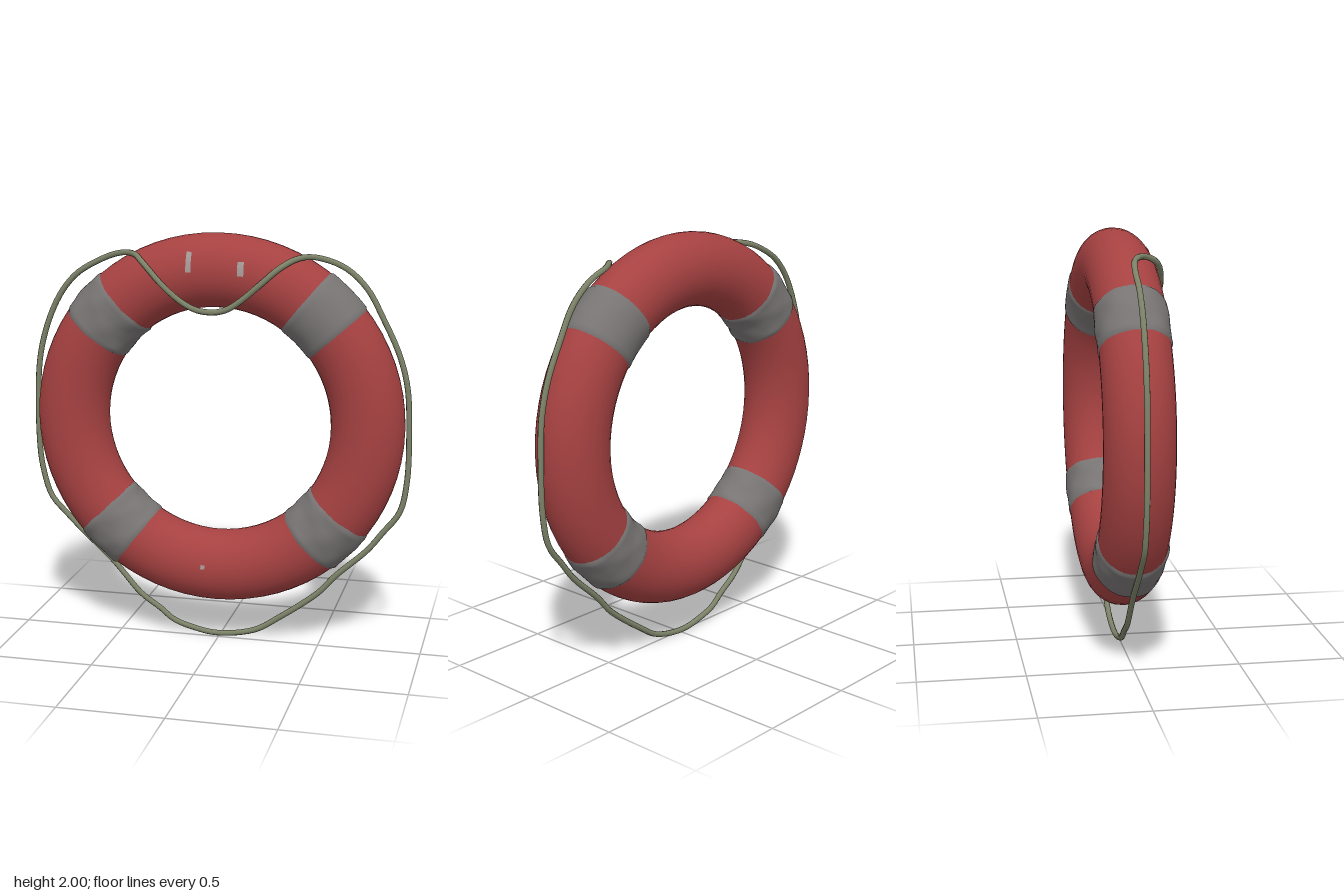
import * as THREE from 'three';
import { mergeVertices } from 'three/addons/utils/BufferGeometryUtils.js';

const CENTER = new THREE.Vector3(-0.005, 1.1, -0.015);
const RING = 0.725, TUBE = 0.175, DEPTH = 0.16;
const TAU = Math.PI * 2;

// Grid lying on the ring: place(u, v) returns [angle along ring, angle around tube, height]
function ringSurface(nu, nv, place) {
  const pos = [], index = [];
  for (let i = 0; i <= nu; i++) {
    for (let j = 0; j <= nv; j++) {
      const [a, b, h] = place(i / nu, j / nv);
      const rho = RING + (TUBE + h) * Math.cos(b);
      pos.push(rho * Math.cos(a), rho * Math.sin(a), (DEPTH + h) * Math.sin(b));
      if (i < nu && j < nv) {
        const p = i * (nv + 1) + j, q = p + nv + 1;
        index.push(p, q, q + 1, p, q + 1, p + 1);
      }
    }
  }
  let geo = new THREE.BufferGeometry();
  geo.setAttribute('position', new THREE.Float32BufferAttribute(pos, 3));
  geo.setIndex(index);
  geo = mergeVertices(geo, 1e-5);
  geo.computeVertexNormals();
  return geo.translate(CENTER.x, CENTER.y, CENTER.z);
}

// Tape wrapped around the tube, nearly parallel-sided, with shallow creases
function tapeBand(degrees, crease, seed) {
  const mid = THREE.MathUtils.degToRad(degrees);
  return ringSurface(14, 56, (u, v) => {
    const b = v * TAU, t = u * 2 - 1;
    const rho = RING + TUBE * Math.cos(b);
    const half = (0.057 + 0.075 * rho) / rho;
    const edge = Math.abs(t) > 0.99;
    const fold = Math.sin(b * 7 + t * 3 + seed) + Math.sin(b * 4 - t * 5 + seed * 2);
    const h = edge ? -0.003 : 0.005 + crease * Math.max(-0.6, fold);
    return [mid + t * half * (1 + crease * 5 * Math.sin(b * 9 + seed)), b, h];
  });
}

// Small worn spot on the front of the ring, given by its x, y, width and height
function wornSpot(x, y, w, h) {
  return ringSurface(3, 6, (u, v) => {
    const px = x + (0.5 - u) * w - CENTER.x;
    const py = y + (v - 0.5) * h - CENTER.y;
    const c = THREE.MathUtils.clamp((Math.hypot(px, py) - RING) / TUBE, -1, 1);
    // rows run inward as the tube angle grows, so flip them to keep the face outward
    return [Math.atan2(py, px), Math.acos(c), 0.003];
  });
}

export function createModel() {
  const group = new THREE.Group();
  const material = (name, color, side = THREE.FrontSide) => {
    const m = new THREE.MeshStandardMaterial({ color, side });
    m.name = name;
    return m;
  };
  const red = material('red shell', 0xa64141);
  const grey = material('grey tape', 0x787474);
  const pale = material('worn grey', 0xa39997, THREE.DoubleSide);
  const olive = material('olive rope', 0x7c8368);
  const add = (name, geo, mat) => {
    const mesh = new THREE.Mesh(geo, mat);
    mesh.name = name;
    group.add(mesh);
  };

  // Buoyant ring
  add('ring', ringSurface(72, 32, (u, v) => [u * TAU, v * TAU, 0]), red);

  // Four tape bands
  add('upperLeftBand', tapeBand(46, 0.0004, 0), grey);
  add('upperRightBand', tapeBand(137, 0.002, 1), grey);
  add('lowerRightBand', tapeBand(228, 0.002, 2.3), grey);
  add('lowerLeftBand', tapeBand(317, 0.002, 4.1), grey);

  // Worn spots on the front
  add('wornSpotRight', wornSpot(-0.11, 1.875, 0.025, 0.09), pale);
  add('wornSpotLeft', wornSpot(0.137, 1.85, 0.03, 0.065), pale);
  add('wornSpotBottom', wornSpot(-0.045, 0.405, 0.02, 0.02), pale);

  // Grab rope: drapes over the front at the top, hangs loose at the bottom
  const back = -0.015, front = 0.165;
  const path = [
    [0, 1.65, front], [0.07, 1.662, front], [0.14, 1.705, front], [0.24, 1.79, front],
    [0.32, 1.86, 0.14], [0.4, 1.9, 0.06], [0.48, 1.895, 0], [0.6, 1.85, back],
    [0.7, 1.76, back], [0.78, 1.62, back], [0.86, 1.45, back], [0.9, 1.3, back],
    [0.913, 1.1, back], [0.91, 0.85, back], [0.88, 0.7, back], [0.8, 0.59, back],
    [0.73, 0.5, back], [0.58, 0.36, back], [0.5, 0.27, back], [0.4, 0.19, back],
    [0.3, 0.12, back], [0.2, 0.055, back], [0.1, 0.025, back], [-0.02, 0.014, back],
    [-0.1, 0.025, back], [-0.23, 0.065, back], [-0.3, 0.12, back], [-0.4, 0.19, back],
    [-0.48, 0.28, back], [-0.55, 0.36, back], [-0.7, 0.5, back], [-0.78, 0.58, back],
    [-0.86, 0.67, back], [-0.9, 0.8, back], [-0.914, 0.9, back], [-0.917, 1.15, back],
    [-0.9, 1.38, back], [-0.85, 1.56, back], [-0.78, 1.7, back], [-0.7, 1.79, back],
    [-0.6, 1.85, back], [-0.5, 1.89, 0], [-0.4, 1.9, 0.055], [-0.33, 1.865, 0.13],
    [-0.23, 1.77, front], [-0.14, 1.695, front], [-0.07, 1.66, front],
  ].map((p) => new THREE.Vector3(...p));
  const curve = new THREE.CatmullRomCurve3(path, true, 'centripetal');
  add('rope', new THREE.TubeGeometry(curve, 200, 0.014, 8, true), olive);

  return group;
}
